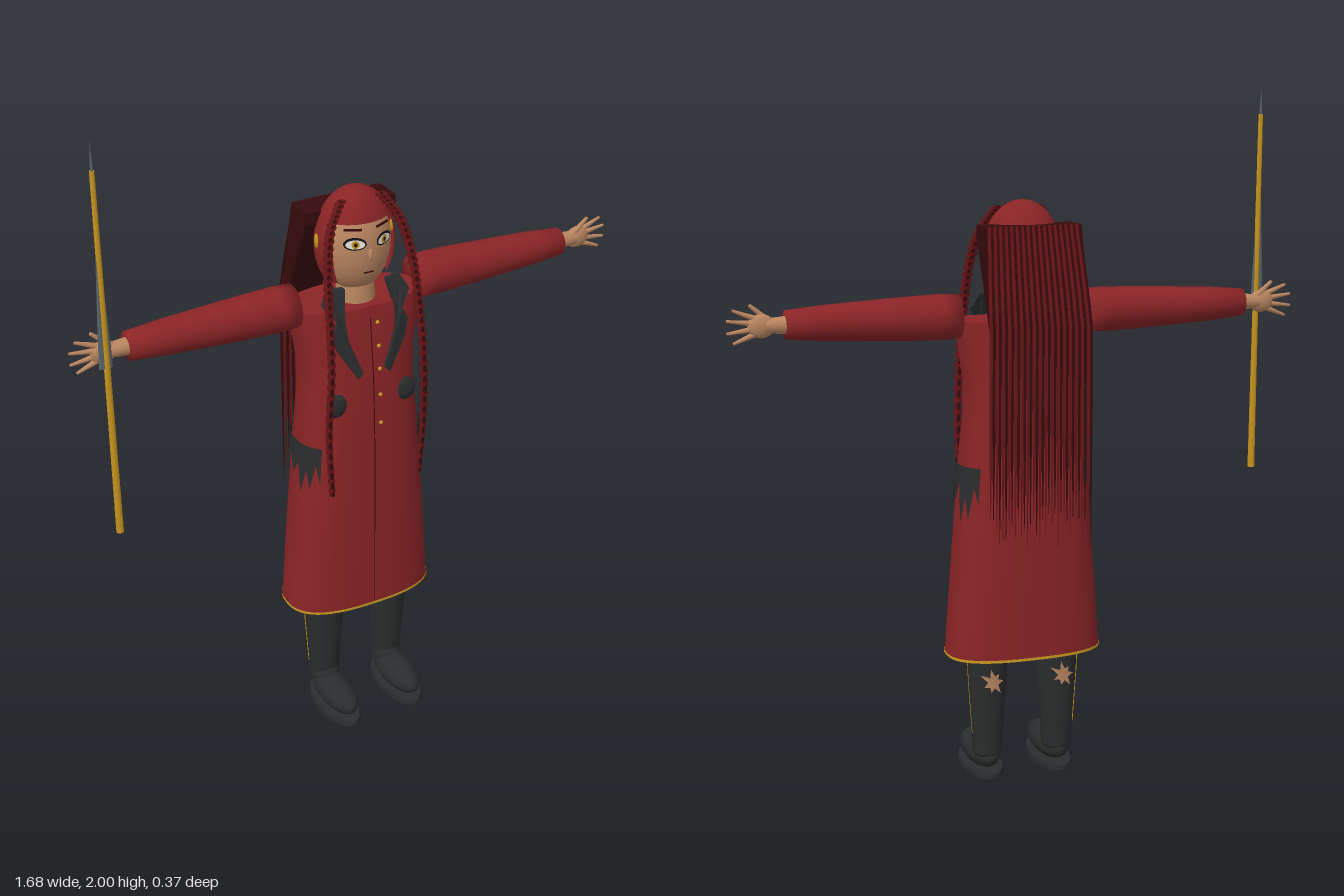
import * as THREE from 'three';

const mat = (name, color, side = THREE.FrontSide) =>
  Object.assign(new THREE.MeshStandardMaterial({ color, side }), { name });

// Solid from horizontal rings [y, rx, rz, cz, cx], listed bottom to top
function loft(rings, n = 32, p = 2, caps = true) {
  const pos = [], idx = [];
  const pt = ([y, rx, rz, cz = 0, cx = 0], j) => {
    const a = (j % n) / n * Math.PI * 2, s = Math.sin(a), c = Math.cos(a);
    pos.push(cx + rx * Math.sign(s) * Math.abs(s) ** (2 / p), y, cz + rz * Math.sign(c) * Math.abs(c) ** (2 / p));
  };
  rings.forEach(r => { for (let j = 0; j < n; j++) pt(r, j); });
  for (let i = 0; i < rings.length - 1; i++) for (let j = 0; j < n; j++) {
    const a = i * n + j, b = i * n + (j + 1) % n;
    idx.push(a, b, b + n, a, b + n, a + n);
  }
  if (caps) for (const top of [false, true]) {
    const r = rings[top ? rings.length - 1 : 0], c = pos.length / 3;
    pos.push(r[4] || 0, r[0], r[3] || 0);
    for (let j = 0; j < n; j++) pt(r, j);
    for (let j = 0; j < n; j++) {
      const a = c + 1 + j, b = c + 1 + (j + 1) % n;
      top ? idx.push(c, a, b) : idx.push(c, b, a);
    }
  }
  return build(pos, idx);
}

function build(pos, idx) {
  const g = new THREE.BufferGeometry();
  g.setAttribute('position', new THREE.Float32BufferAttribute(pos, 3));
  g.setIndex(idx);
  g.computeVertexNormals();
  return g;
}

// Strip between paired points (list of [pointA, pointB])
function strip(pairs) {
  const idx = [];
  for (let i = 0; i < pairs.length - 1; i++) idx.push(2 * i, 2 * i + 1, 2 * i + 3, 2 * i, 2 * i + 3, 2 * i + 2);
  return build(pairs.flat(2), idx);
}

const COAT = [[0.39, 0.23, 0.125, -0.015], [0.65, 0.21, 0.123, -0.015], [0.95, 0.186, 0.118, -0.013],
  [1.1, 0.17, 0.113, -0.014], [1.2, 0.172, 0.108, -0.016], [1.3, 0.188, 0.1, -0.018], [1.37, 0.192, 0.092, -0.022]];
const P = 2.6;
function coatRing(y) {
  let i = 0;
  while (i < COAT.length - 2 && COAT[i + 1][0] < y) i++;
  const t = THREE.MathUtils.clamp((y - COAT[i][0]) / (COAT[i + 1][0] - COAT[i][0]), 0, 1);
  return COAT[i].map((v, k) => v + t * (COAT[i + 1][k] - v));
}
const coatZ = (x, y) => {
  const [, rx, rz, cz] = coatRing(y);
  return cz + rz * (1 - Math.min(1, Math.abs(x) / rx) ** P) ** (1 / P);
};
const headZ = (x, y) => -0.008 + 0.085 * Math.sqrt(Math.max(0, 1 - (x / 0.1) ** 2 - ((y - 1.54) / 0.145) ** 2));

export function createModel() {
  const D = THREE.DoubleSide;
  const red = mat('coatRed', 0x8a2426, D), hairDark = mat('hairShadow', 0x360a0c, D), hairRed = mat('hairRed', 0x6a1417, D);
  const skin = mat('skin', 0xb98560, D), dark = mat('charcoal', 0x2a2c2d, D), gold = mat('gold', 0xc7951f, D);
  const steel = mat('steel', 0x59666b), white = mat('eyeWhite', 0xe6e6e2, D), black = mat('black', 0x141212, D);
  const root = new THREE.Group();
  root.name = 'figure';
  const add = (name, geo, m, x = 0, y = 0, z = 0, parent = root) => {
    const o = new THREE.Mesh(geo, m);
    o.name = name;
    o.position.set(x, y, z);
    parent.add(o);
    return o;
  };
  const ball = (rx, ry, rz) => new THREE.SphereGeometry(1, 28, 18).scale(rx, ry, rz);
  const box = (w, h, d) => new THREE.BoxGeometry(w, h, d);

  // Long coat with hem trim, seam and buttons
  add('coat', loft(COAT, 48, P), red);
  add('hemTrim', loft([[0.388, 0.232, 0.127, -0.015], [0.396, 0.2315, 0.1265, -0.015]], 48, P, false), gold);
  for (const y of [1.32, 1.25, 1.18, 1.1, 1.01]) add('button', ball(0.006, 0.006, 0.005), gold, 0.022, y, coatZ(0.02, y));
  add('coatSeam', strip([1.34, 1.2, 1.1, 0.95, 0.4].map(y => [[-0.0015, y, coatZ(0, y) + 0.002], [0.0015, y, coatZ(0, y) + 0.002]])), hairDark);

  for (const s of [-1, 1]) {
    // Lapel bent over the chest
    const outline = [[0.065, 1.43], [0.11, 1.435], [0.135, 1.39], [0.1, 1.345], [0.118, 1.31], [0.105, 1.26], [0.05, 1.17], [0.035, 1.185], [0.075, 1.29], [0.08, 1.35]];
    const lapel = new THREE.ExtrudeGeometry(new THREE.Shape(outline.map(([x, y]) => new THREE.Vector2(s * x, y))), { depth: 0.014, bevelEnabled: false });
    const lp = lapel.attributes.position;
    for (let i = 0; i < lp.count; i++) {
      const y = lp.getY(i);
      lp.setZ(i, lp.getZ(i) + coatZ(lp.getX(i), y) - 0.002 - Math.max(0, y - 1.37) * 0.5);
    }
    lapel.computeVertexNormals();
    add('lapel', lapel, dark);
    add('roundPocket', ball(0.033, 0.036, 0.016), dark, s * 0.11, 1.09, coatZ(0.11, 1.09));

    // Torn cloth wrapped over the hip
    const tears = [0.84, 0.9, 0.82, 0.88, 0.8, 0.89, 0.85, 0.91, 0.79, 0.87, 0.81, 0.9, 0.85];
    const at = (a, y) => {
      const [, rx, rz, cz] = coatRing(y), sn = Math.sin(a), c = Math.cos(a);
      return [s * (rx + 0.007) * sn ** (2 / P), y, cz + (rz + 0.007) * Math.sign(c) * Math.abs(c) ** (2 / P)];
    };
    add('tornHipCloth', strip(tears.map((y, i) => {
      const a = 0.85 + i / 12 * 1.45;
      return [at(a, 0.957), at(a, y)];
    })), dark);

    // Leg with ripped patch at the back and a side seam
    const LEG = [[0.08, 0.045, 0.045, -0.015], [0.15, 0.048, 0.047, -0.014], [0.3, 0.058, 0.058, -0.014], [0.42, 0.063, 0.064, -0.012]];
    add('leg', loft(LEG, 24), dark, s * 0.108);
    const star = [0, 0.31, -0.077], fan = [];
    for (let i = 0; i < 14; i++) {
      const t = i / 14 * Math.PI * 2, r = i % 2 ? 0.016 : 0.034 + 0.008 * Math.sin(i * 2.3);
      const a = Math.PI + r * Math.cos(t) / 0.062, y = 0.31 + r * 1.2 * Math.sin(t), q = 0.064 + (y - 0.31) * 0.04;
      star.push(q * Math.sin(a), y, -0.014 + q * Math.cos(a));
      fan.push(0, i + 1, (i + 1) % 14 + 1);
    }
    add('rippedPatch', build(star, fan), skin, s * 0.108);
    add('legSeam', strip([[0.14, 0.049], [0.3, 0.06], [0.39, 0.0635]].map(([y, r]) =>
      [[s * r, y, -0.019], [s * r, y, -0.025]])), gold, s * 0.108);

    // Boot
    add('bootSole', loft([[0, 0.056, 0.125, 0.055], [0.01, 0.06, 0.131, 0.055], [0.024, 0.056, 0.126, 0.055]], 32), dark, s * 0.108);
    add('bootUpper', ball(0.05, 0.046, 0.118), dark, s * 0.108, 0.062, 0.058);
    add('bootAnkle', ball(0.045, 0.05, 0.05), dark, s * 0.108, 0.095, -0.01);

    // Arm, built along +x and turned for the other side
    const arm = new THREE.Group();
    arm.name = s > 0 ? 'leftArm' : 'rightArm';
    arm.position.set(0, 1.38, -0.018);
    arm.rotation.y = s > 0 ? 0 : Math.PI;
    root.add(arm);
    const sleeve = [[0, 0.68], [0.04, 0.68], [0.049, 0.58], [0.056, 0.45], [0.062, 0.32], [0.064, 0.24], [0.062, 0.19], [0, 0.19]]
      .reverse().map(([r, y]) => new THREE.Vector2(r, y));
    add('sleeve', new THREE.LatheGeometry(sleeve, 28).rotateZ(-Math.PI / 2), red, 0, 0, 0, arm);
    add('wrist', new THREE.CylinderGeometry(0.02, 0.026, 0.07, 16).rotateZ(-Math.PI / 2), skin, 0.7, 0, 0, arm);
    add('palm', ball(0.038, 0.033, 0.018), skin, 0.745, 0, 0, arm);
    [-0.38, -0.13, 0.13, 0.38].forEach((a, i) => {
      const len = i % 3 ? 0.075 : 0.062;
      const f = add('finger', new THREE.CylinderGeometry(0.004, 0.0085, len, 10).translate(0, len / 2, 0), skin, 0.765, (i - 1.5) * 0.015, 0, arm);
      f.rotation.z = a - Math.PI / 2;
    });
    const thumb = add('thumb', new THREE.CylinderGeometry(0.005, 0.009, 0.06, 10).translate(0, 0.03, 0), skin, 0.73, 0.018, 0.006, arm);
    thumb.rotation.z = -0.85;

    // Eye, brow and ear ornament
    const face = (name, geo, m, x, y, off) => { add(name, geo, m, s * x, y, headZ(x, y) + off).rotation.y = s * 0.45; };
    const oval = (rx, ry) => new THREE.CircleGeometry(1, 24).scale(rx, ry, 1);
    face('eyeOutline', oval(0.032, 0.019), black, 0.044, 1.568, 0.003);
    face('eyeWhite', oval(0.027, 0.0135), white, 0.044, 1.567, 0.005);
    face('iris', oval(0.011, 0.012), gold, 0.044, 1.567, 0.0065);
    face('pupil', oval(0.005, 0.006), black, 0.044, 1.567, 0.008);
    face('brow', box(0.05, 0.005, 0.005), hairDark, 0.045, 1.606, 0.002);
    add('earOrnament', ball(0.005, 0.022, 0.009), gold, s * 0.117, 1.56, -0.015);

    // Flat front braid
    const path = new THREE.CatmullRomCurve3([[0.06, 1.68, 0.02], [0.105, 1.61, 0.045], [0.13, 1.5, 0.075], [0.138, 1.38, 0.1],
      [0.145, 1.22, 0.122], [0.152, 1.02, 0.118], [0.142, 0.82, 0.115]].reverse().map(v => new THREE.Vector3(...v)));
    const rings = path.getPoints(70).map((v, i) => [v.y, (0.011 + 0.008 * i / 70) * (i % 2 ? 1 : 0.72), 0.006, v.z, s * v.x]);
    add('braid', loft(rings, 8), hairRed);
    add('braidCore', loft(rings.map(([y, r, , z, x], i) => [y, 0.007, i % 2 ? 0.005 : 0.0085, z, x]), 8), hairDark);
  }

  // Head and neck
  add('neck', new THREE.CylinderGeometry(0.05, 0.06, 0.12, 24), skin, 0, 1.39, -0.012);
  add('head', ball(0.1, 0.145, 0.085), skin, 0, 1.54, -0.008);
  add('nose', ball(0.007, 0.018, 0.008), skin, 0, 1.53, headZ(0, 1.53));
  add('mouth', box(0.028, 0.003, 0.004), hairDark, 0, 1.475, headZ(0, 1.475));

  // Hair cap: full crown, open in front below the hairline
  const rim = Math.acos(0.08 / 0.16);
  add('hairCrown', new THREE.SphereGeometry(1, 40, 12, 0, Math.PI * 2, 0, rim).scale(0.117, 0.16, 0.094), red, 0, 1.54, -0.015);
  add('hairSides', new THREE.SphereGeometry(1, 36, 14, Math.PI / 2 + 0.95, Math.PI * 2 - 1.9, rim, 1.2).scale(0.117, 0.16, 0.094), red, 0, 1.54, -0.015);

  // Back hair: a wedge under a curtain of thin locks
  const wedge = new THREE.Shape();
  wedge.moveTo(0.035, 1.635);
  wedge.lineTo(0.118, 1.635);
  wedge.quadraticCurveTo(0.155, 1.48, 0.179, 1.36);
  wedge.lineTo(0.179, 1.28);
  wedge.quadraticCurveTo(0.13, 1.4, 0.035, 1.6);
  const mass = new THREE.ExtrudeGeometry(wedge, { depth: 0.28, bevelEnabled: false, curveSegments: 10 });
  add('backHairMass', mass.rotateY(Math.PI / 2).translate(-0.14, 0, 0), hairDark);
  let seed = 7;
  const rnd = () => (seed = (seed * 16807) % 2147483647) / 2147483647;
  const locks = 34;
  for (let i = 0; i < locks; i++) {
    const u = i / (locks - 1) * 2 - 1, end = 0.72 + 0.12 * rnd(), mid = 1.0 + 0.15 * rnd(), j = i % 2 * 0.002;
    const pts = [[1.637, 0.12, 0.13, 0.0042], [1.55, 0.14, 0.136, 0.0044], [1.45, 0.163, 0.142, 0.0045], [1.36, 0.182, 0.146, 0.0046],
      [mid, 0.182, 0.148, 0.0044], [(mid + end) / 2, 0.182, 0.149, 0.003], [end, 0.182, 0.15, 0.0008]];
    add('hairLock', strip(pts.map(([y, z, x, w]) => [[u * x + w, y, -z - j], [u * x - w, y, -z - j]])), i % 2 ? hairRed : hairDark);
  }

  // Staff with a side blade and a needle tip
  add('staffShaft', new THREE.CylinderGeometry(0.007, 0.011, 1.06, 8), gold, -0.763, 1.39, 0.053);
  add('staffTip', new THREE.ConeGeometry(0.005, 0.09, 8), steel, -0.763, 1.955, 0.053);
  add('staffBlade', loft([[1.37, 0.019, 0.004], [1.45, 0.017, 0.004], [1.68, 0.006, 0.003]], 8), steel, -0.766, 0, 0.053);
  return root;
}
